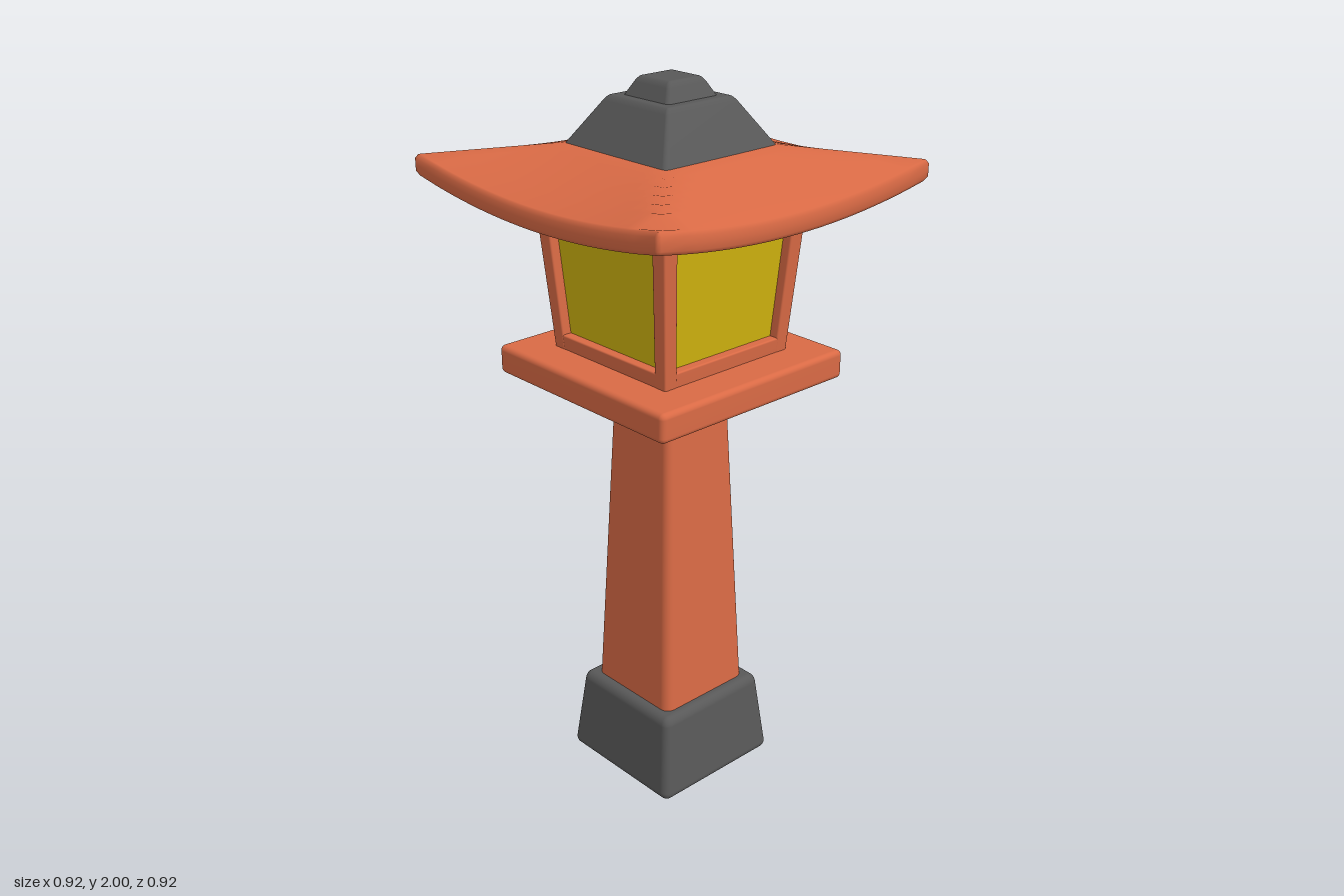
import * as THREE from 'three';
import { mergeVertices } from 'three/addons/utils/BufferGeometryUtils.js';
import { RoundedBoxGeometry } from 'three/addons/geometries/RoundedBoxGeometry.js';

const paint = (name, color) => {
  const m = new THREE.MeshStandardMaterial({ color });
  m.name = name;
  return m;
};

// Weld the corners and recompute soft normals
function soften(geo) {
  geo.deleteAttribute('normal');
  geo.deleteAttribute('uv');
  const g = mergeVertices(geo, 1e-5);
  g.computeVertexNormals();
  return g;
}

// Scale x and z linearly from k0 at height y0 to k1 at height y1
function taper(geo, y0, y1, k0, k1) {
  const p = geo.attributes.position;
  for (let i = 0; i < p.count; i++) {
    const k = k0 + (k1 - k0) * (p.getY(i) - y0) / (y1 - y0);
    p.setX(i, p.getX(i) * k);
    p.setZ(i, p.getZ(i) * k);
  }
  return soften(geo);
}

// Square rounded block with half widths h0 (bottom) and h1 (top)
function block(y0, y1, h0, h1, r) {
  const g = new RoundedBoxGeometry(2 * h0, y1 - y0, 2 * h0, 4, r);
  g.translate(0, (y0 + y1) / 2, 0);
  return taper(g, y0, y1, 1, h1 / h0);
}

// Roof slab: flat underside, sloping top, corners swept upward
function roofGeometry() {
  const H = 0.46, r = 0.01, n = 24;
  const g = new THREE.BoxGeometry(2 * H, 2, 2 * H, n, 4, n);
  const p = g.attributes.position;
  const step = 2 * H / n;
  const tighten = v => (Math.abs(Math.abs(v) - (H - step)) < 1e-4 ? Math.sign(v) * (H - r) : v);
  for (let i = 0; i < p.count; i++) {
    let x = tighten(p.getX(i)), z = tighten(p.getZ(i));
    const v = p.getY(i);
    const m = Math.max(Math.abs(x), Math.abs(z));
    const t = m > 0 ? Math.min(Math.abs(x), Math.abs(z)) / m : 0;
    const s = THREE.MathUtils.clamp((m - 0.19) / (H - 0.19), 0, 1);
    const lift = 0.045 * s * t * t;
    const bottom = 1.697 + lift, top = 1.83 - 0.08 * s + lift;
    let f = (v + 1) / 2;
    // side rows: keep a narrow bevel at the lip
    if (Math.abs(v) > 0.4 && Math.abs(v) < 0.6) f = v > 0 ? 0.82 : 0.18;
    if (Math.abs(v) > 0.9) {
      x = THREE.MathUtils.clamp(x, -H + r * 0.6, H - r * 0.6);
      z = THREE.MathUtils.clamp(z, -H + r * 0.6, H - r * 0.6);
    }
    p.setXYZ(i, x, bottom + (top - bottom) * f, z);
  }
  return soften(g);
}

export function createModel() {
  const red = paint('red wood', 0xd96a45);
  const grey = paint('dark grey stone', 0x585858);
  const yellow = paint('yellow glow', 0xd0b40f);

  const model = new THREE.Group();
  model.name = 'stoneLantern';
  const add = (name, geo, mat, parent = model) => {
    const mesh = new THREE.Mesh(geo, mat);
    mesh.name = name;
    parent.add(mesh);
    return mesh;
  };

  // Foot, pillar and platform
  add('base', block(0, 0.255, 0.208, 0.18, 0.025), grey);
  add('pillar', block(0.21, 1.205, 0.153, 0.11, 0.028), red);
  add('platform', block(1.2, 1.28, 0.325, 0.325, 0.015), red);

  // Light box: glowing core inside a flared frame
  const lightBox = new THREE.Group();
  lightBox.name = 'lightBox';
  model.add(lightBox);
  add('panes', block(1.275, 1.698, 0.19, 0.222, 0.004), yellow, lightBox);

  const y0 = 1.27, y1 = 1.7, half = 0.217, w = 0.04;
  const c = half - w / 2;
  const flared = g => taper(g, y0, y1, 1, 0.25 / half);
  for (const sx of [-1, 1]) for (const sz of [-1, 1]) {
    const post = new RoundedBoxGeometry(w, y1 - y0, w, 2, 0.005);
    post.translate(sx * c, (y0 + y1) / 2, sz * c);
    add('cornerPost', flared(post), red, lightBox);
  }
  const rails = [['bottomRail', y0, 1.32], ['topRail', 1.66, y1]];
  for (const [name, a, b] of rails) for (let i = 0; i < 4; i++) {
    const rail = new RoundedBoxGeometry(2 * half - w, b - a, w - 0.002, 2, 0.005);
    rail.translate(0, (a + b) / 2, c);
    rail.rotateY(i * Math.PI / 2);
    add(name, flared(rail), red, lightBox);
  }

  // Roof with its cap and finial
  add('roof', roofGeometry(), red);
  add('cap', block(1.8, 1.952, 0.21, 0.112, 0.015), grey);
  add('finial', block(1.935, 2.0, 0.094, 0.058, 0.015), grey);

  return model;
}
